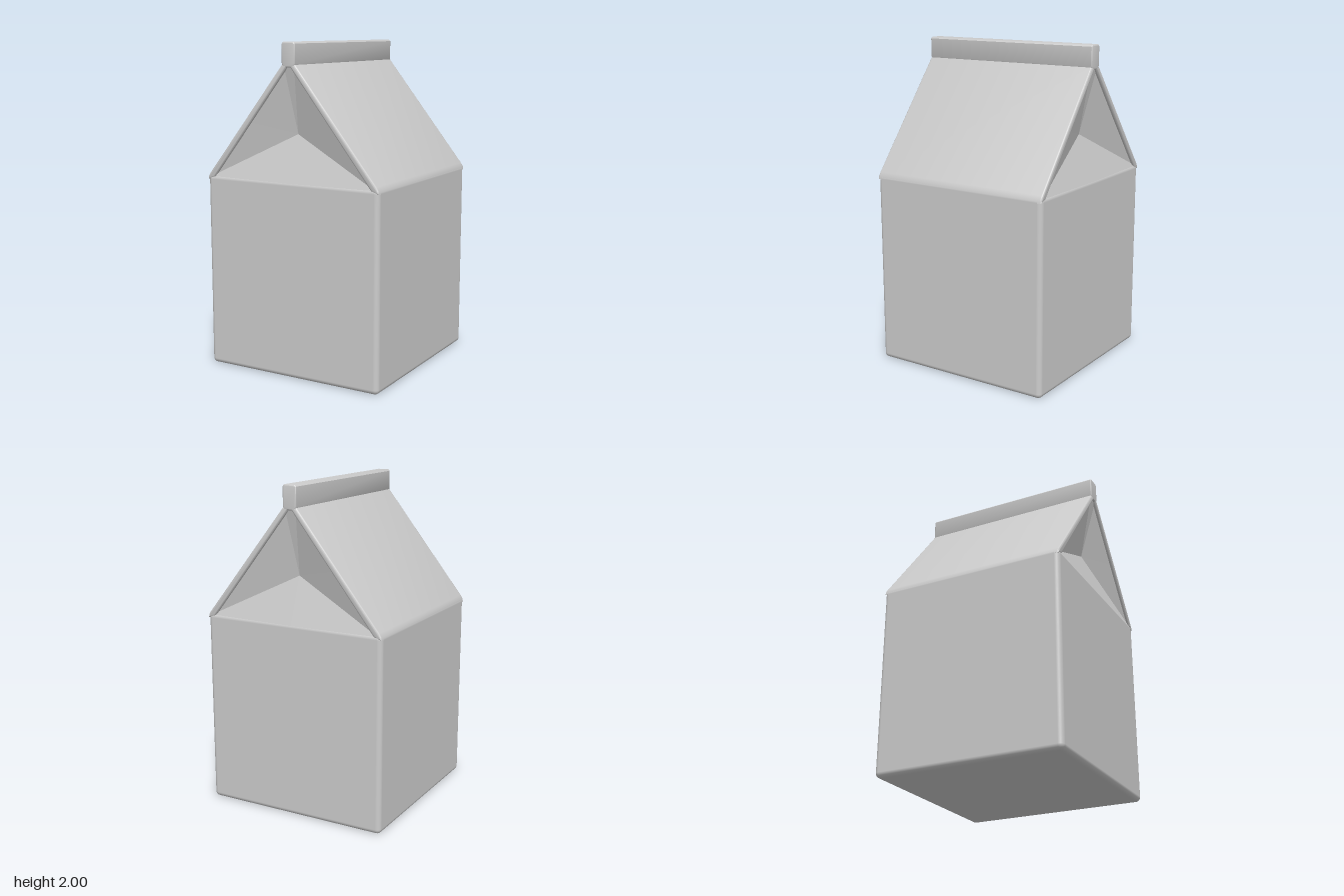
import * as THREE from 'three';
import { toCreasedNormals } from 'three/addons/utils/BufferGeometryUtils.js';
import { RoundedBoxGeometry } from 'three/addons/geometries/RoundedBoxGeometry.js';

const HALF = 0.59;
const grey = new THREE.MeshStandardMaterial({ color: 0xcccccc });
const paper = new THREE.MeshStandardMaterial({ color: 0xcccccc, side: THREE.DoubleSide });

function addMesh(parent, name, geometry, material = grey) {
  const mesh = new THREE.Mesh(geometry, material);
  mesh.name = name;
  parent.add(mesh);
  return mesh;
}

// Extrudes an xy outline along the full depth, with softly rounded ends
function depthExtrude(points, bevel) {
  const shape = new THREE.Shape(points.map(([x, y]) => new THREE.Vector2(x, y)));
  const geometry = new THREE.ExtrudeGeometry(shape, {
    depth: 2 * (HALF - bevel),
    bevelSize: bevel,
    bevelThickness: bevel,
    bevelOffset: -bevel,
    bevelSegments: 3,
  });
  geometry.translate(0, 0, -(HALF - bevel));
  return toCreasedNormals(geometry, 0.6);
}

// Gable end folded inwards: two lower flaps and two overhanging upper flaps
function foldedGable() {
  const centre = [0, 1.465, 0.485];
  const bottom = [0, 1.18, 0.588];
  const positions = [];
  for (const s of [-1, 1]) {
    const corner = [s * 0.572, 1.185, 0.585];
    const fold = [s * 0.295, 1.53, 0.58];
    const tip = [s * 0.035, 1.865, 0.58];
    const triangles = [
      [bottom, centre, corner],
      [corner, centre, fold],
      [fold, centre, tip],
      [tip, centre, [0, 1.865, 0.58]],
    ];
    for (const [a, b, c] of triangles) {
      positions.push(...(s < 0 ? [a, b, c] : [a, c, b]).flat());
    }
  }
  const geometry = new THREE.BufferGeometry();
  geometry.setAttribute('position', new THREE.Float32BufferAttribute(positions, 3));
  geometry.computeVertexNormals();
  return geometry;
}

export function createModel() {
  const group = new THREE.Group();
  group.name = 'carton';

  // Square body with soft edges
  const body = new RoundedBoxGeometry(2 * HALF, 1.2, 2 * HALF, 4, 0.03);
  body.translate(0, 0.6, 0);
  addMesh(group, 'body', body);

  // Sloping roof panels with a rounded shoulder, and folded gable ends
  const slope = depthExtrude([
    [0.59, 1.168], [0.587, 1.188], [0.573, 1.21], [0.045, 1.87],
    [0, 1.87], [0.012, 1.855], [0.54, 1.185],
  ], 0.01);
  const gable = foldedGable();
  [0, Math.PI].forEach((turn, i) => {
    addMesh(group, i ? 'rightRoofPanel' : 'leftRoofPanel', slope).rotation.y = turn;
    addMesh(group, i ? 'backGable' : 'frontGable', gable, paper).rotation.y = turn;
  });

  // Sealed ridge along the top
  addMesh(group, 'ridgeSeal', depthExtrude([
    [-0.034, 1.855], [0.034, 1.855], [0.045, 1.875], [0.045, 1.99],
    [0.035, 2], [-0.035, 2], [-0.045, 1.99], [-0.045, 1.875],
  ], 0.008));

  return group;
}
